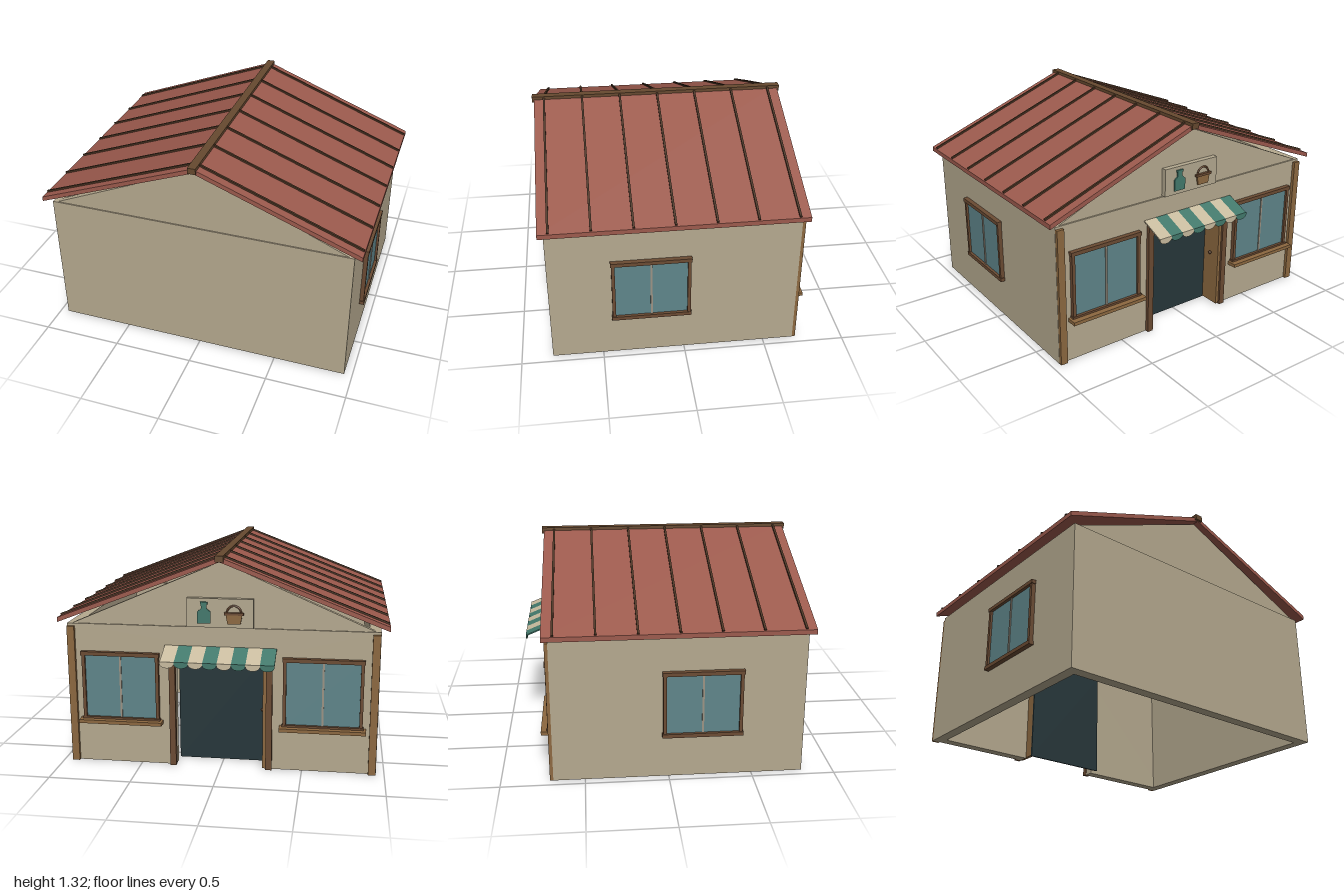
import * as THREE from 'three';

const mat = (color) => new THREE.MeshStandardMaterial({ color });
const M = {
  wall: mat(0xb5a98f), roof: mat(0x9c5a4d), batten: mat(0x4a3423), ridge: mat(0x66492f),
  trim: mat(0x6b4b33), wood: mat(0x8c6840), glass: mat(0x5f858a), mullion: mat(0x9c9384),
  dark: mat(0x26363a), teal: mat(0x43796c), cream: mat(0xc9bc9f), sign: mat(0xb3a88f),
};

function add(parent, name, geometry, material, x = 0, y = 0, z = 0) {
  const mesh = new THREE.Mesh(geometry, material);
  mesh.name = name;
  mesh.position.set(x, y, z);
  parent.add(mesh);
  return mesh;
}

// Box given by its limits on each axis
function box(parent, name, material, [x0, x1], [y0, y1], [z0, z1]) {
  return add(parent, name, new THREE.BoxGeometry(x1 - x0, y1 - y0, z1 - z0), material,
    (x0 + x1) / 2, (y0 + y1) / 2, (z0 + z1) / 2);
}

// Outline in x and y, extruded from z0 to z1
function slab(parent, name, material, points, z0, z1) {
  const shape = new THREE.Shape(points.map(([x, y]) => new THREE.Vector2(x, y)));
  const geometry = new THREE.ExtrudeGeometry(shape, { depth: z1 - z0, bevelEnabled: false });
  return add(parent, name, geometry, material, 0, 0, z0);
}

// Two-pane window facing local +z, its back on z = 0
function makeWindow(name, w, h, frameMaterial) {
  const g = new THREE.Group();
  g.name = name;
  const b = 0.024, x = w / 2, y = h / 2;
  box(g, 'glass', M.glass, [-x + 0.01, x - 0.01], [-y + 0.01, y - 0.01], [-0.005, 0.012]);
  box(g, 'mullion', M.mullion, [-0.006, 0.006], [-y + b, y - b], [0, 0.018]);
  for (const s of [-1, 1]) {
    add(g, 'frameUpright', new THREE.BoxGeometry(b - 0.004, h, 0.026), frameMaterial, s * (x - b / 2), 0, 0.013);
    add(g, 'frameRail', new THREE.BoxGeometry(w + 0.006, b, 0.03), frameMaterial, 0, s * (y - b / 2), 0.015);
  }
  return g;
}

export function createModel() {
  const model = new THREE.Group();
  model.name = 'shop';
  const W = 0.95, H = 0.885, T = 0.065, ZF = 0.81, ZB = -0.69;
  const doorX = 0.28, doorY = 0.71;

  // Walls: hollow shell with no floor, door opening on the -z side
  box(model, 'plainWall', M.wall, [-W, W], [0, H], [ZF - T, ZF]);
  box(model, 'sideWall', M.wall, [-W, -W + T], [0, H], [ZB + T, ZF - T]);
  box(model, 'sideWall', M.wall, [W - T, W], [0, H], [ZB + T, ZF - T]);
  slab(model, 'shopWall', M.wall, [[-W, 0], [-doorX, 0], [-doorX, doorY], [doorX, doorY],
    [doorX, 0], [W, 0], [W, H], [-W, H]], ZB, ZB + T);
  const gable = [[-0.92, H], [0.92, H], [0, 1.28]];
  slab(model, 'gable', M.wall, gable, 0.767, 0.803);
  slab(model, 'gable', M.wall, gable, -0.68, -0.644);

  // Roof: two sloped slabs with battens and a ridge cap
  const eave = 0.926, peak = 1.312, pitch = Math.atan(peak - eave);
  for (const s of [-1, 1]) {
    slab(model, 'roofSlope', M.roof, [[0, peak - 0.029], [s, eave - 0.029], [s, eave], [0, peak]], -0.725, 0.842);
    for (let i = 0; i < 7; i++) {
      const batten = add(model, 'roofBatten', new THREE.BoxGeometry(0.985 / Math.cos(pitch), 0.014, 0.013),
        M.batten, s * 0.503, (eave + peak) / 2 + 0.003, 0.78 - i * 0.24);
      batten.rotation.z = -s * pitch;
    }
  }
  box(model, 'ridgeCap', M.ridge, [-0.025, 0.025], [1.285, 1.322], [-0.738, 0.855]);

  for (const s of [-1, 1]) {
    // Side windows
    const side = makeWindow('sideWindow', 0.475, 0.415, M.trim);
    side.position.set(s * W, 0.472, 0.2);
    side.rotation.y = s * Math.PI / 2;
    model.add(side);

    // Shop windows with sills
    const shop = makeWindow('shopWindow', 0.484, 0.44, M.trim);
    shop.position.set(s * 0.62, 0.495, ZB);
    shop.rotation.y = Math.PI;
    model.add(shop);
    box(model, 'windowSill', M.wood, [s * 0.62 - 0.26, s * 0.62 + 0.26], [0.265, 0.287], [-0.755, ZB]);

    // Corner posts and door posts
    box(model, 'cornerPost', M.wood, [s * 0.925 - 0.023, s * 0.925 + 0.023], [0, 0.87], [-0.71, ZB + 0.005]);
    box(model, 'doorPost', M.trim, [s * 0.297 - 0.019, s * 0.297 + 0.019], [0, doorY], [-0.714, ZB + 0.01]);
  }
  box(model, 'doorLintel', M.trim, [-0.316, 0.316], [0.7, 0.737], [-0.716, ZB + 0.01]);

  // Dark doorway backing, and the door leaf folded back against the jamb
  box(model, 'doorwayBacking', M.dark, [-doorX, doorX], [0, doorY], [-0.565, -0.555]);
  box(model, 'doorLeaf', M.wood, [-doorX, -doorX + 0.022], [0.005, 0.7], [-0.7, -0.565]);
  add(model, 'doorKnob', new THREE.SphereGeometry(0.011, 12, 8), M.batten, -doorX + 0.03, 0.36, -0.63);

  // Striped awning with a scalloped valance
  const n = 8, sw = 0.68 / n, drop = 0.065, reach = 0.155;
  for (let i = 0; i < n; i++) {
    const x = -0.34 + (i + 0.5) * sw;
    const m = i % 2 ? M.cream : M.teal;
    const strip = add(model, 'awningStripe', new THREE.BoxGeometry(sw, 0.008, Math.hypot(drop, reach)), m,
      x, 0.732, -0.695 - reach / 2);
    strip.rotation.x = -Math.atan(drop / reach);
    const scallop = new THREE.Shape();
    scallop.moveTo(sw / 2, 0.012);
    scallop.lineTo(-sw / 2, 0.012);
    scallop.lineTo(-sw / 2, 0);
    scallop.absellipse(0, 0, sw / 2, 0.026, Math.PI, Math.PI * 2, false);
    add(model, 'awningScallop', new THREE.ExtrudeGeometry(scallop, { depth: 0.008, bevelEnabled: false, curveSegments: 8 }),
      m, x, 0.694, -0.854);
  }

  // Sign board with a bottle and a basket in relief
  const sign = new THREE.Group();
  sign.name = 'signBoard';
  model.add(sign);
  box(sign, 'board', M.sign, [-0.2, 0.2], [0.89, 1.065], [-0.713, -0.675]);
  slab(sign, 'bottle', M.teal, [[0.055, 0.915], [0.135, 0.915], [0.135, 0.985], [0.112, 1.005],
    [0.112, 1.035], [0.078, 1.035], [0.078, 1.005], [0.055, 0.985]], -0.722, -0.71);
  box(sign, 'bottleCap', M.teal, [0.073, 0.117], [1.032, 1.045], [-0.724, -0.71]);
  slab(sign, 'basket', M.wood, [[-0.125, 0.915], [-0.047, 0.915], [-0.036, 0.975], [-0.136, 0.975]], -0.724, -0.71);
  box(sign, 'basketRim', M.trim, [-0.144, -0.028], [0.97, 0.985], [-0.731, -0.71]);
  add(sign, 'basketHandle', new THREE.TorusGeometry(0.042, 0.006, 6, 16, Math.PI), M.trim, -0.086, 0.983, -0.719);

  return model;
}
